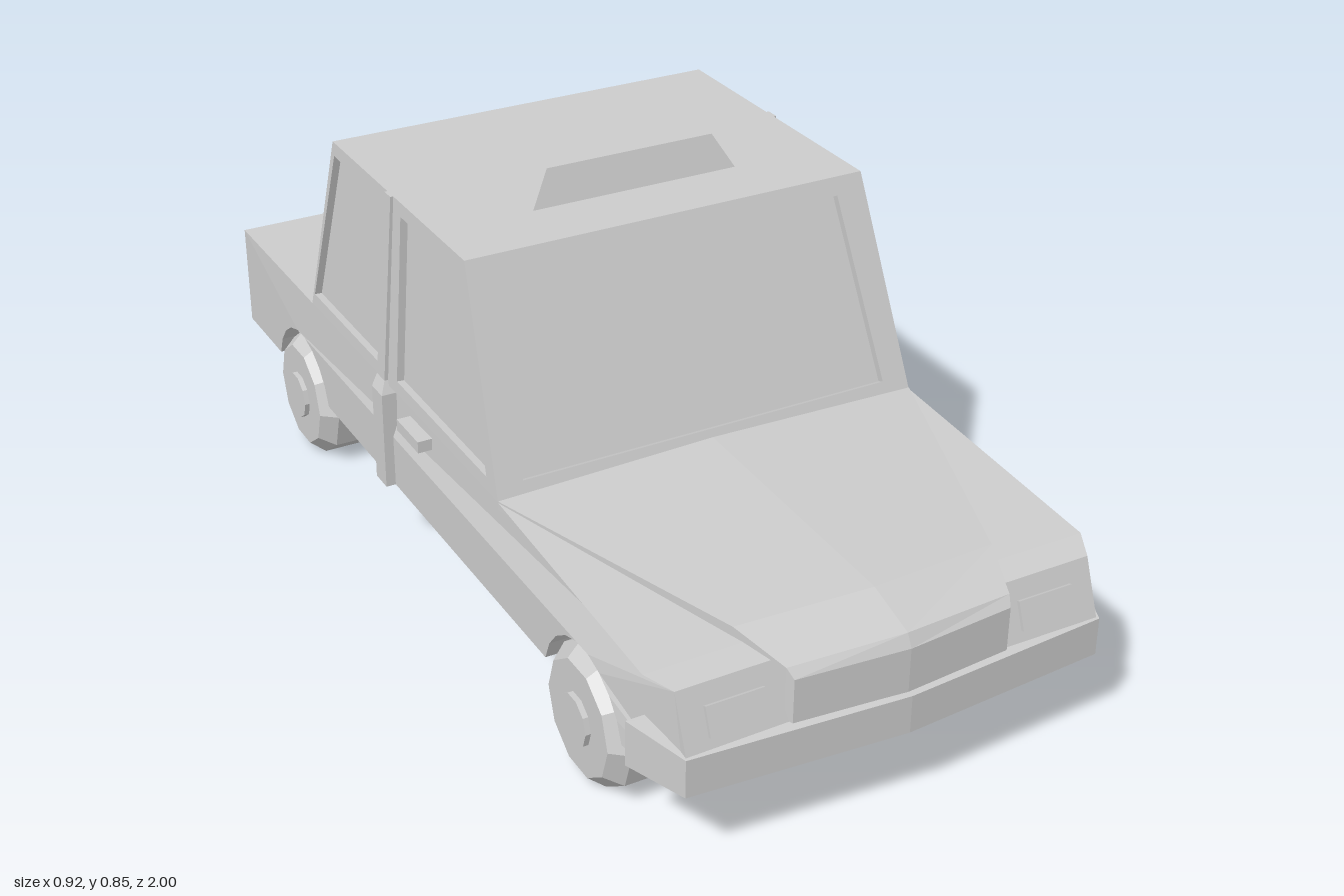
import * as THREE from 'three';

const material = new THREE.MeshStandardMaterial({ color: 0xcccccc, flatShading: true });

function part(name, geometry, parent) {
  const mesh = new THREE.Mesh(geometry, material);
  mesh.name = name;
  parent.add(mesh);
  return mesh;
}

// Flat polygons (corners counter-clockwise from outside), fanned into triangles
function faces(polygons) {
  const pos = [];
  for (const p of polygons) {
    for (let i = 1; i < p.length - 1; i++) pos.push(...p[0], ...p[i], ...p[i + 1]);
  }
  const g = new THREE.BufferGeometry();
  g.setAttribute('position', new THREE.Float32BufferAttribute(pos, 3));
  g.computeVertexNormals();
  return g;
}

// Skin a row of equal-length rings and cap both ends
function loft(rings) {
  const n = rings[0].length;
  const list = [[...rings[0]].reverse(), rings[rings.length - 1]];
  for (let r = 0; r < rings.length - 1; r++) {
    const a = rings[r], b = rings[r + 1];
    for (let i = 0; i < n; i++) {
      const j = (i + 1) % n;
      list.push([a[i], a[j], b[j], b[i]]);
    }
  }
  return faces(list);
}

// Frame with a recessed pane; outer and hole are matching four-corner loops
function addWindow(name, outer, hole, parent) {
  const v = hole.map((p) => new THREE.Vector3(...p));
  const inward = v[1].clone().sub(v[0]).cross(v[3].clone().sub(v[0])).normalize().multiplyScalar(-0.015);
  const pane = v.map((p) => p.add(inward).toArray());
  const frame = [];
  for (let i = 0; i < 4; i++) {
    const j = (i + 1) % 4;
    frame.push([outer[i], outer[j], hole[j], hole[i]], [hole[i], hole[j], pane[j], pane[i]]);
  }
  part(name + 'Frame', faces(frame), parent);
  part(name + 'Glass', faces([pane]), parent);
}

// Side profile in (z, y), extruded between two x positions
function bodySlab(x0, x1, arches) {
  const s = new THREE.Shape();
  s.moveTo(-0.965, 0.165);
  if (arches) {
    for (const zc of [-0.64, 0.66]) {
      for (let i = 0; i <= 9; i++) {
        const t = Math.PI - 0.243 - (i / 9) * (Math.PI - 0.486);
        s.lineTo(zc + 0.145 * Math.cos(t), i === 0 || i === 9 ? 0.165 : 0.13 + 0.145 * Math.sin(t));
      }
    }
  }
  for (const p of [[0.965, 0.165], [0.965, 0.24], [0.925, 0.345], [0.87, 0.353], [0.34, 0.385], [-0.965, 0.385]]) s.lineTo(...p);
  const g = new THREE.ExtrudeGeometry(s, { depth: x1 - x0, bevelEnabled: false });
  g.rotateY(-Math.PI / 2).translate(x1, 0, 0);
  // Narrow the nose
  const p = g.attributes.position;
  for (let i = 0; i < p.count; i++) {
    if (p.getZ(i) > 0.9 && Math.abs(p.getX(i)) > 0.4) p.setX(i, Math.sign(p.getX(i)) * 0.412);
  }
  g.computeVertexNormals();
  return g;
}

function wheelGeometry() {
  const half = [[0, 0.103], [0.05, 0.103], [0.05, 0.0925], [0.11, 0.0925], [0.1367, 0.06]];
  const profile = [...half.map(([r, y]) => [r, -y]), ...[...half].reverse()];
  return new THREE.LatheGeometry(profile.map((p) => new THREE.Vector2(...p)), 10).rotateZ(Math.PI / 2);
}

export function createModel() {
  const car = new THREE.Group();
  car.name = 'car';

  // Lower body
  part('bodyCentre', bodySlab(-0.26, 0.26, false), car);
  part('bodySideLeft', bodySlab(0.26, 0.44, true), car);
  part('bodySideRight', bodySlab(-0.44, -0.26, true), car);

  // Bulged tail panel
  const tailRing = (x, y0, y1, z) => [[-x, y0, z], [-x, y1, z], [x, y1, z], [x, y0, z]];
  part('tailPanel', loft([tailRing(0.44, 0.165, 0.385, -0.963), tailRing(0.14, 0.2, 0.31, -1)]), car);

  // Raised bonnet, running down into the grille
  const bonnetRing = ([w, low, top, mid, z, zMid]) => [
    [0, low, zMid], [w, low, z], [w, top, z], [0, mid, zMid], [-w, top, z], [-w, low, z],
  ];
  part('bonnet', loft([
    [0.44, 0.37, 0.388, 0.398, 0.34, 0.34],
    [0.26, 0.33, 0.373, 0.383, 0.85, 0.875],
    [0.222, 0.24, 0.345, 0.352, 0.955, 0.975],
    [0.215, 0.24, 0.328, 0.328, 0.97, 0.988],
  ].map(bonnetRing)), car);

  // Wrap-around front bumper
  const plan = new THREE.Shape([[-0.46, -0.85], [-0.415, -0.97], [0, -1], [0.415, -0.97], [0.46, -0.85]]
    .reverse().map((p) => new THREE.Vector2(...p)));
  const bumper = new THREE.ExtrudeGeometry(plan, { depth: 0.075, bevelEnabled: false });
  bumper.rotateX(-Math.PI / 2).translate(0, 0.165, 0);
  const bp = bumper.attributes.position;
  for (let i = 0; i < bp.count; i++) {
    if (Math.abs(bp.getX(i)) > 0.43 && bp.getY(i) > 0.2) bp.setY(i, 0.255);
  }
  bumper.computeVertexNormals();
  part('frontBumper', bumper, car);

  // Cabin
  const cabin = new THREE.Group();
  cabin.name = 'cabin';
  car.add(cabin);
  const B = 0.385, T = 0.785;
  // Point on the front (end = 1) or rear (end = -1) sloping plane
  const endPoint = (end, x, y) => {
    const k = (y - B) / (T - B);
    return [x * end, y, end > 0 ? 0.34 - 0.165 * k : -0.555 + 0.115 * k];
  };
  for (const [name, end] of [['windscreen', 1], ['rearWindow', -1]]) {
    const e = (x, y) => endPoint(end, x, y);
    addWindow(name,
      [e(-0.44, B), e(0.44, B), e(0.415, T), e(-0.415, T)],
      [e(-0.385, 0.41), e(0.385, 0.41), e(0.355, 0.752), e(-0.355, 0.752)], cabin);
  }
  part('roof', faces([[[-0.415, T, 0.175], [0.415, T, 0.175], [0.415, T, -0.44], [-0.415, T, -0.44]]]), cabin);

  // Side windows, door pillar, handle and headlight, mirrored
  for (const side of [1, -1]) {
    const label = side > 0 ? 'Left' : 'Right';
    const half = new THREE.Group();
    half.name = 'fittings' + label;
    half.scale.x = side;
    car.add(half);
    const s = (z, y) => [0.44 - 0.025 * (y - B) / (T - B), y, z];
    addWindow('frontSideWindow',
      [s(0.34, B), s(-0.165, B), s(-0.15, T), s(0.175, T)],
      [s(0.29, 0.412), s(-0.112, 0.412), s(-0.105, 0.757), s(0.155, 0.757)], half);
    addWindow('rearSideWindow',
      [s(-0.165, B), s(-0.555, B), s(-0.44, T), s(-0.15, T)],
      [s(-0.2, 0.412), s(-0.54, 0.412), s(-0.432, 0.757), s(-0.183, 0.757)], half);

    part('doorPillar', loft([
      [0.165, 0.46, -0.143, -0.192],
      [0.37, 0.459, -0.143, -0.192],
      [0.395, 0.447, -0.155, -0.192],
      [0.785, 0.421, -0.139, -0.167],
    ].map(([y, x, f, b]) => [[0.4, y, f], [x, y, f], [x, y, b], [0.4, y, b]])), half);

    part('doorHandle', new THREE.BoxGeometry(0.03, 0.024, 0.1), half).position.set(0.441, 0.337, -0.03);

    const lamp = part('headlight', new THREE.BoxGeometry(0.112, 0.054, 0.014), half);
    lamp.position.set(0.31, 0.285, 0.948);
    lamp.rotation.x = -0.364;
  }

  // Roof sign
  const signRing = (x, z, y) => [[-x, y, z - 0.012], [x, y, z - 0.012], [x, y, -z - 0.012], [-x, y, -z - 0.012]];
  part('roofSign', loft([signRing(0.215, 0.055, T), signRing(0.175, 0.033, 0.853)]), car);

  // Wheels
  const wheel = wheelGeometry();
  for (const [end, z] of [['front', 0.66], ['rear', -0.64]]) {
    for (const [label, x] of [['Left', 0.3575], ['Right', -0.3575]]) {
      part(end + 'Wheel' + label, wheel, car).position.set(x, 0.13, z);
    }
  }
  return car;
}
